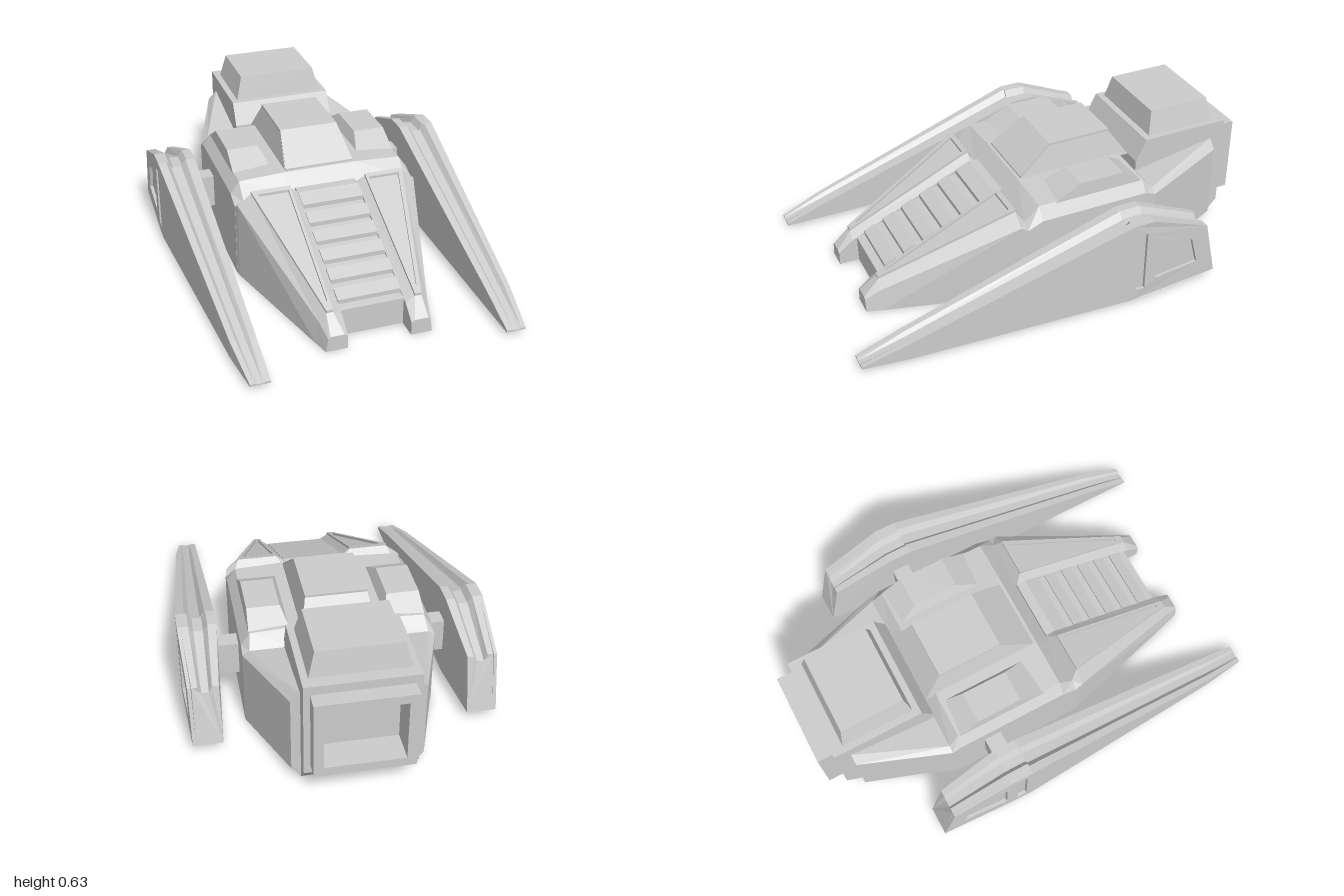
import * as THREE from 'three';

const grey = new THREE.MeshStandardMaterial({ color: 0xcccccc, flatShading: true });

function add(parent, name, geometry) {
  geometry.computeVertexNormals();
  const mesh = new THREE.Mesh(geometry, grey);
  mesh.name = name;
  parent.add(mesh);
  return mesh;
}

// Skin over counterclockwise rings of [x, y, z], listed from front to back, with end caps
function loft(rings) {
  const pos = [];
  const tri = (a, b, c) => pos.push(...a, ...b, ...c);
  const n = rings[0].length;
  for (let k = 0; k < rings.length - 1; k++) {
    for (let i = 0; i < n; i++) {
      const j = (i + 1) % n, f = rings[k], r = rings[k + 1];
      tri(f[i], r[i], r[j]);
      tri(f[i], r[j], f[j]);
    }
  }
  const cap = (ring, flip) => {
    const flat = ring.map(p => new THREE.Vector2(p[0], p[1]));
    for (const [a, b, c] of THREE.ShapeUtils.triangulateShape(flat, [])) {
      if (flip) tri(ring[c], ring[b], ring[a]);
      else tri(ring[a], ring[b], ring[c]);
    }
  };
  cap(rings[0], false);
  cap(rings[rings.length - 1], true);
  const g = new THREE.BufferGeometry();
  g.setAttribute('position', new THREE.Float32BufferAttribute(pos, 3));
  return g;
}

// Box with separate bottom and top rectangles: [x0, x1, z0, z1, y]
function block(bottom, top) {
  const g = new THREE.BoxGeometry(1, 1, 1), p = g.attributes.position;
  for (let i = 0; i < p.count; i++) {
    const r = p.getY(i) > 0 ? top : bottom;
    p.setXYZ(i, p.getX(i) > 0 ? r[1] : r[0], r[4], p.getZ(i) > 0 ? r[3] : r[2]);
  }
  return g;
}

// Extruded outline with holes, then moved by a rule (u, v, depth) => [x, y, z]
function plate(outline, holes, depth, rule) {
  const vec = pts => pts.map(p => new THREE.Vector2(p[0], p[1]));
  const shape = new THREE.Shape(vec(outline));
  holes.forEach(h => shape.holes.push(new THREE.Path(vec(h))));
  const g = new THREE.ExtrudeGeometry(shape, { depth, bevelEnabled: false });
  const p = g.attributes.position;
  for (let i = 0; i < p.count; i++) p.setXYZ(i, ...rule(p.getX(i), p.getY(i), p.getZ(i)));
  return g;
}
// Outline in [z, y], extruded along x
const sidePlate = (outline, holes, depth, xAt) => {
  const flip = pts => pts.map(([z, y]) => [-z, y]);
  return plate(flip(outline), holes.map(flip), depth, (u, v, w) => [xAt(-u) + w, v, -u]);
};
// Outline in [x, z], lying on a surface of height yAt(z)
const deckPlate = (outline, holes, depth, yAt) => {
  const flip = pts => pts.map(([x, z]) => [x, -z]);
  return plate(flip(outline), holes.map(flip), depth, (u, v, w) => [u, yAt(-v) + w, -v]);
};
const rect = (x0, x1, y0, y1) => [[x0, y0], [x1, y0], [x1, y1], [x0, y1]];
const line = (z0, y0, z1, y1) => z => y0 + (z - z0) / (z1 - z0) * (y1 - y0);

function buildSide(side) {
  // Front prong with a recessed wedge panel
  const prong = [
    [0.86, [0.14, 0], [0.235, 0], [0.225, 0.06], [0.215, 0.07], [0.155, 0.07], [0.14, 0.06]],
    [0.79, [0.14, 0], [0.255, 0], [0.24, 0.1], [0.21, 0.14], [0.18, 0.14], [0.14, 0.115]],
    [0.2, [0.14, 0], [0.415, 0], [0.415, 0.36], [0.355, 0.41], [0.175, 0.41], [0.14, 0.385]],
    [0.165, [0.14, 0], [0.42, 0], [0.42, 0.34], [0.38, 0.36], [0.17, 0.36], [0.14, 0.36]],
  ].map(([z, ...pts]) => pts.map(([x, y]) => [x, y, z]));
  add(side, 'frontProng', loft(prong));
  add(side, 'prongPanelFrame', deckPlate(
    [[0.18, 0.79], [0.21, 0.79], [0.355, 0.2], [0.175, 0.2]],
    [[[0.192, 0.75], [0.203, 0.75], [0.33, 0.22], [0.188, 0.22]]],
    0.012, line(0.79, 0.14, 0.2, 0.41)));

  // Raised pod on the hull shoulder
  add(side, 'shoulderPod', block([0.2, 0.385, -0.42, 0.04, 0.41], [0.235, 0.38, -0.31, -0.1, 0.485]));

  // Strut and grooved outrigger fin
  add(side, 'strut', block([0.4, 0.53, -0.3, -0.22, 0.14], [0.4, 0.53, -0.3, -0.22, 0.295]));
  const fin = [ // bottom z, top z, inner x, outer x, bottom y, top y, groove depth
    [1, 1, 0.51, 0.595, 0.02, 0.03, 0.004],
    [0.8, 0.8, 0.51, 0.62, 0.02, 0.1, 0.015],
    [-0.2, -0.2, 0.51, 0.68, 0.02, 0.415, 0.03],
    [-0.2, -0.2, 0.51, 0.665, 0.02, 0.415, 0.03],
    [-0.3, -0.3, 0.51, 0.665, 0.02, 0.415, 0.03],
    [-0.64, -0.58, 0.535, 0.65, 0.04, 0.3, 0.03],
  ].map(([zb, zt, xi, xo, yb, yt, d]) => {
    const x = f => xi + (xo - xi) * f;
    return [[xi, yb, zb], [xo, yb, zb], [xo, yt, zt], [x(0.78), yt, zt], [x(0.65), yt - d, zt],
      [x(0.38), yt - d, zt], [x(0.25), yt, zt], [xi, yt, zt]];
  });
  add(side, 'outriggerFin', loft(fin));
  // Outer skin of the fin with a slot and a hatch cut through it
  add(side, 'finSidePanel', sidePlate(
    [[-0.2, 0.02], [-0.3, 0.02], [-0.64, 0.04], [-0.58, 0.3], [-0.3, 0.415], [-0.2, 0.415]],
    [[[-0.225, 0.07], [-0.27, 0.07], [-0.27, 0.36], [-0.225, 0.36]],
      [[-0.325, 0.105], [-0.54, 0.12], [-0.505, 0.25], [-0.325, 0.315]]],
    0.015, z => 0.665 - Math.max(0, -0.3 - z) * 0.045));
}

export function createModel() {
  const model = new THREE.Group();
  model.name = 'landingCraft';

  // Main hull, half sections mirrored into closed rings
  const hull = [
    [0.17, [0.42, 0], [0.42, 0.05], [0.42, 0.34], [0.38, 0.36], [0.17, 0.36]],
    [0.1, [0.42, 0], [0.42, 0.05], [0.42, 0.37], [0.38, 0.425], [0.17, 0.435]],
    [-0.41, [0.42, 0], [0.42, 0.05], [0.42, 0.37], [0.38, 0.425], [0.17, 0.435]],
    [-0.46, [0.42, 0], [0.42, 0.05], [0.42, 0.35], [0.39, 0.37], [0.2, 0.37]],
    [-0.86, [0.24, 0], [0.28, 0.05], [0.28, 0.4], [0.24, 0.44], [0.2, 0.44]],
  ].map(([z, ...half]) => [
    ...half.map(([x, y]) => [x, y, z]),
    ...half.slice().reverse().map(([x, y]) => [-x, y, z]),
  ]);
  add(model, 'hull', loft(hull));

  // Louvred ramp between the prongs
  const ramp = [[0.165, 0], [0.165, 0.385], [0.21, 0.385]];
  const slope = line(0.22, 0.38, 0.77, 0.135);
  const slats = 6, pitch = 0.55 / slats;
  for (let i = 0; i < slats; i++) {
    const z = 0.22 + i * pitch, m = z + pitch * 0.6, e = z + pitch;
    ramp.push([z, slope(z)], [m, slope(m)], [m, slope(m) - 0.02], [e, slope(e) - 0.01]);
  }
  ramp.push([0.77, 0]);
  add(model, 'louvredRamp', sidePlate(ramp, [], 0.28, () => -0.14));

  // Canopy with framed roof and window
  add(model, 'canopy', block([-0.165, 0.165, -0.46, 0.1, 0.42], [-0.135, 0.135, -0.37, -0.07, 0.55]));
  add(model, 'canopyRoofFrame', deckPlate(rect(-0.135, 0.135, -0.37, -0.07),
    [rect(-0.115, 0.115, -0.35, -0.09)], 0.01, () => 0.55));
  add(model, 'canopyWindowFrame', deckPlate(
    [[-0.135, -0.07], [0.135, -0.07], [0.16, 0.085], [-0.16, 0.085]],
    [[[-0.115, -0.055], [0.115, -0.055], [0.125, 0.065], [-0.125, 0.065]]],
    0.01, line(-0.07, 0.55, 0.1, 0.42)));

  // Engine housing, roof block and hollow exhaust
  add(model, 'engineHousing', sidePlate(
    [[-0.46, 0.05], [-0.46, 0.42], [-0.51, 0.52], [-0.86, 0.52], [-0.86, 0.05]], [], 0.48, () => -0.24));
  add(model, 'engineRoofBlock', block([-0.21, 0.21, -0.875, -0.54, 0.52], [-0.182, 0.182, -0.855, -0.562, 0.63]));
  add(model, 'tailChamfer', sidePlate([[-0.86, 0], [-0.86, 0.08], [-0.93, 0.08]], [], 0.48, () => -0.24));
  const opening = [rect(-0.17, 0.17, 0.16, 0.44)];
  add(model, 'engineRearWall', plate(rect(-0.24, 0.24, 0.08, 0.52), opening, 0.07, (x, y, w) => [x, y, w - 0.93]));
  add(model, 'exhaustFrame', plate(rect(-0.212, 0.212, 0.12, 0.48), opening, 0.07, (x, y, w) => [x, y, w - 1]));

  // Mirrored sides
  for (const s of [1, -1]) {
    const side = new THREE.Group();
    side.name = s > 0 ? 'leftSide' : 'rightSide';
    buildSide(side);
    side.scale.x = s;
    model.add(side);
  }
  return model;
}
